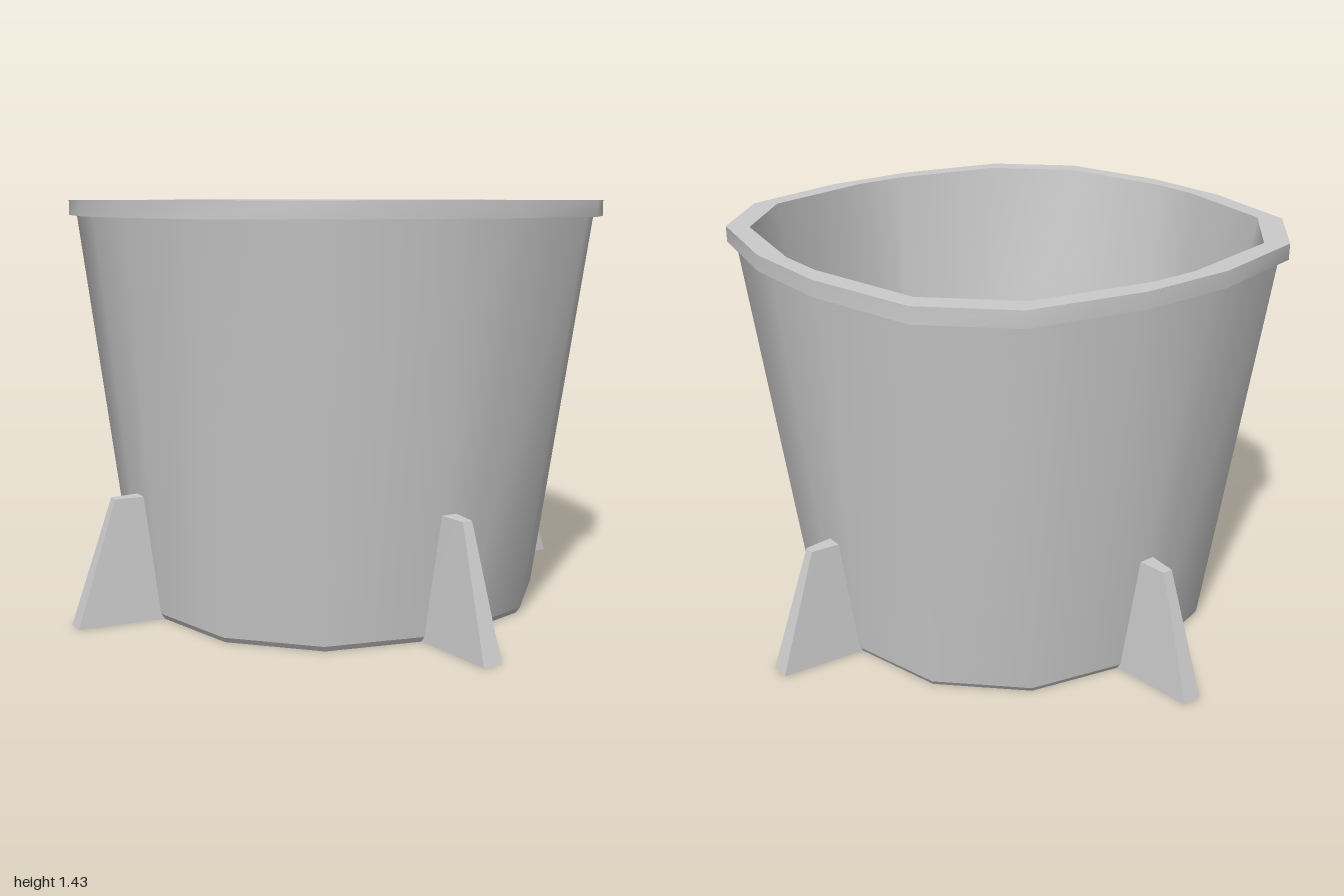
import * as THREE from 'three';

const material = new THREE.MeshStandardMaterial({ color: 0xcccccc });

// Twelve-sided rounded-square ring: flat distance a, half flat s, corner (c, d).
function ring(y, a, s, c, d) {
  const points = [];
  for (let q = 0; q < 4; q++) {
    for (let [x, z] of [[a, s], [c, d], [d, c], [s, a]]) {
      for (let k = 0; k < q; k++) [x, z] = [-z, x];
      points.push([x, y, z]);
    }
  }
  return points;
}

// Joins rings into bands, smooth around each band and sharp between bands.
function addBands(group, name, rings) {
  const positions = [], index = [];
  for (let r = 0; r + 1 < rings.length; r++) {
    const n = rings[r].length, base = positions.length / 3;
    positions.push(...rings[r].flat(), ...rings[r + 1].flat());
    for (let i = 0; i < n; i++) {
      const a = base + i, b = base + (i + 1) % n;
      index.push(a, a + n, b, b, a + n, b + n);
    }
  }
  const geometry = new THREE.BufferGeometry();
  geometry.setAttribute('position', new THREE.Float32BufferAttribute(positions, 3));
  geometry.setIndex(index);
  geometry.computeVertexNormals();
  const mesh = new THREE.Mesh(geometry, material);
  mesh.name = name;
  group.add(mesh);
}

// Tapered foot: a box whose eight corners are moved to a leaning wedge.
function footGeometry() {
  const geometry = new THREE.BoxGeometry(1, 1, 1);
  const p = geometry.attributes.position;
  for (let i = 0; i < p.count; i++) {
    const top = p.getY(i) > 0, outer = p.getZ(i) > 0;
    const half = top ? (outer ? 0.018 : 0.03) : (outer ? 0.034 : 0.067);
    const reach = top ? (outer ? 0.855 : 0.735) : (outer ? 1 : 0.69);
    p.setXYZ(i, Math.sign(p.getX(i)) * half, top ? 0.43 : 0, reach);
  }
  geometry.computeVertexNormals();
  return geometry;
}

export function createModel() {
  const model = new THREE.Group();
  const underside = ring(0, 0.703, 0.07, 0.625, 0.385);
  const wallBottom = ring(0.02, 0.715, 0.075, 0.635, 0.395);
  const wallTop = ring(1.375, 0.85, 0.135, 0.77, 0.53);
  const rimBottom = ring(1.375, 0.876, 0.17, 0.79, 0.557);
  const rimTop = ring(1.43, 0.876, 0.17, 0.79, 0.557);
  const mouth = ring(1.43, 0.816, 0.088, 0.732, 0.495);
  const floor = ring(0.045, 0.677, 0.04, 0.592, 0.357);

  addBands(model, 'base', [ring(0, 0, 0, 0, 0), underside, wallBottom]);
  addBands(model, 'outerWall', [wallBottom, wallTop]);
  addBands(model, 'rim', [wallTop, rimBottom, rimTop, mouth]);
  addBands(model, 'innerWall', [mouth, floor]);
  addBands(model, 'innerFloor', [floor, ring(0.045, 0, 0, 0, 0)]);

  // Four feet, one on each side
  const foot = footGeometry();
  ['frontFoot', 'leftFoot', 'backFoot', 'rightFoot'].forEach((name, i) => {
    const mesh = new THREE.Mesh(foot, material);
    mesh.name = name;
    mesh.rotation.y = i * Math.PI / 2;
    model.add(mesh);
  });
  return model;
}
